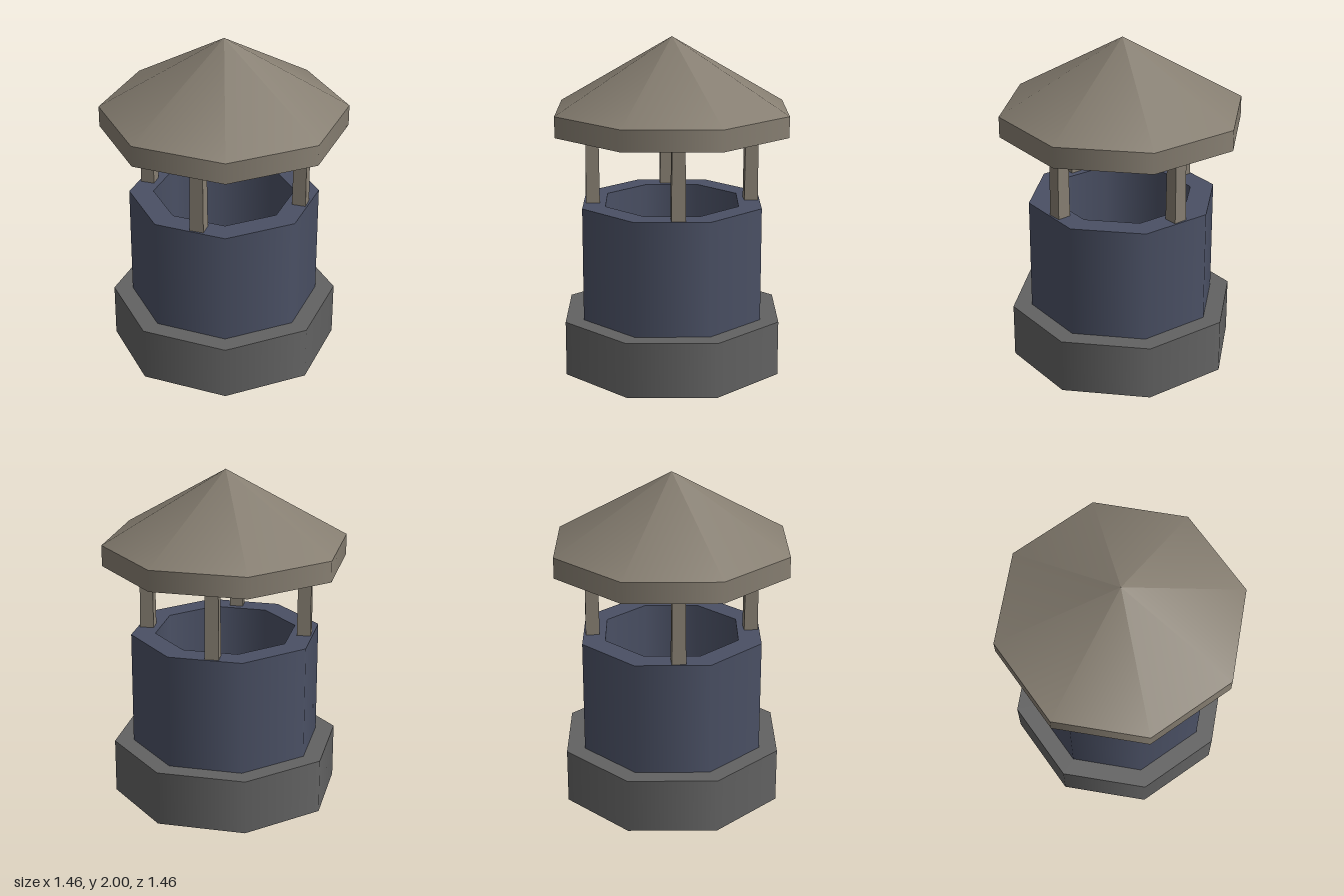
import * as THREE from 'three';

const material = (name, color, side = THREE.FrontSide) => {
  const m = new THREE.MeshStandardMaterial({ color, side });
  m.name = name;
  return m;
};

// Eight-sided shell: smooth around, with a sharp edge at each profile point
function octagonShell(name, profile, mat) {
  const group = new THREE.Group();
  group.name = name;
  for (let i = 0; i < profile.length - 1; i++) {
    const points = [profile[i], profile[i + 1]].map(([r, y]) => new THREE.Vector2(r, y));
    const mesh = new THREE.Mesh(new THREE.LatheGeometry(points, 8), mat);
    mesh.name = `${name}Face${i + 1}`;
    group.add(mesh);
  }
  return group;
}

export function createModel() {
  const model = new THREE.Group();
  model.name = 'chimneyCap';
  const grey = material('baseGrey', 0x626262, THREE.DoubleSide);
  const blue = material('slateBlue', 0x4a5064, THREE.DoubleSide);
  const stone = material('warmStone', 0x867e71, THREE.DoubleSide);

  // Open-bottomed base with a ledge
  model.add(octagonShell('base', [[0.685, 0], [0.685, 0.33], [0.57, 0.33]], grey));

  // Drum with a deep recess in its top
  model.add(octagonShell('drum',
    [[0.57, 0.33], [0.57, 1.015], [0.425, 1.015], [0.425, 0.37], [0, 0.37]], blue));

  // Roof with a rim and a hollow conical underside
  model.add(octagonShell('roof',
    [[0, 1.875], [0.73, 1.45], [0.73, 1.575], [0, 2]], stone));

  // Four slightly tapered square posts, running up into the roof
  const bottom = 1.0, top = 1.65;
  const postShape = new THREE.BoxGeometry(0.083, top - bottom, 0.083);
  const pos = postShape.attributes.position;
  for (let i = 0; i < pos.count; i++) {
    if (pos.getY(i) > 0) {
      pos.setX(i, pos.getX(i) * 0.88);
      pos.setZ(i, pos.getZ(i) * 0.88);
    }
  }
  postShape.computeVertexNormals();
  for (let i = 0; i < 4; i++) {
    const angle = -0.32 + i * Math.PI / 2;
    const post = new THREE.Mesh(postShape, stone);
    post.name = `post${i + 1}`;
    post.position.set(0.475 * Math.sin(angle), (bottom + top) / 2, 0.475 * Math.cos(angle));
    post.rotation.y = angle;
    model.add(post);
  }
  return model;
}
